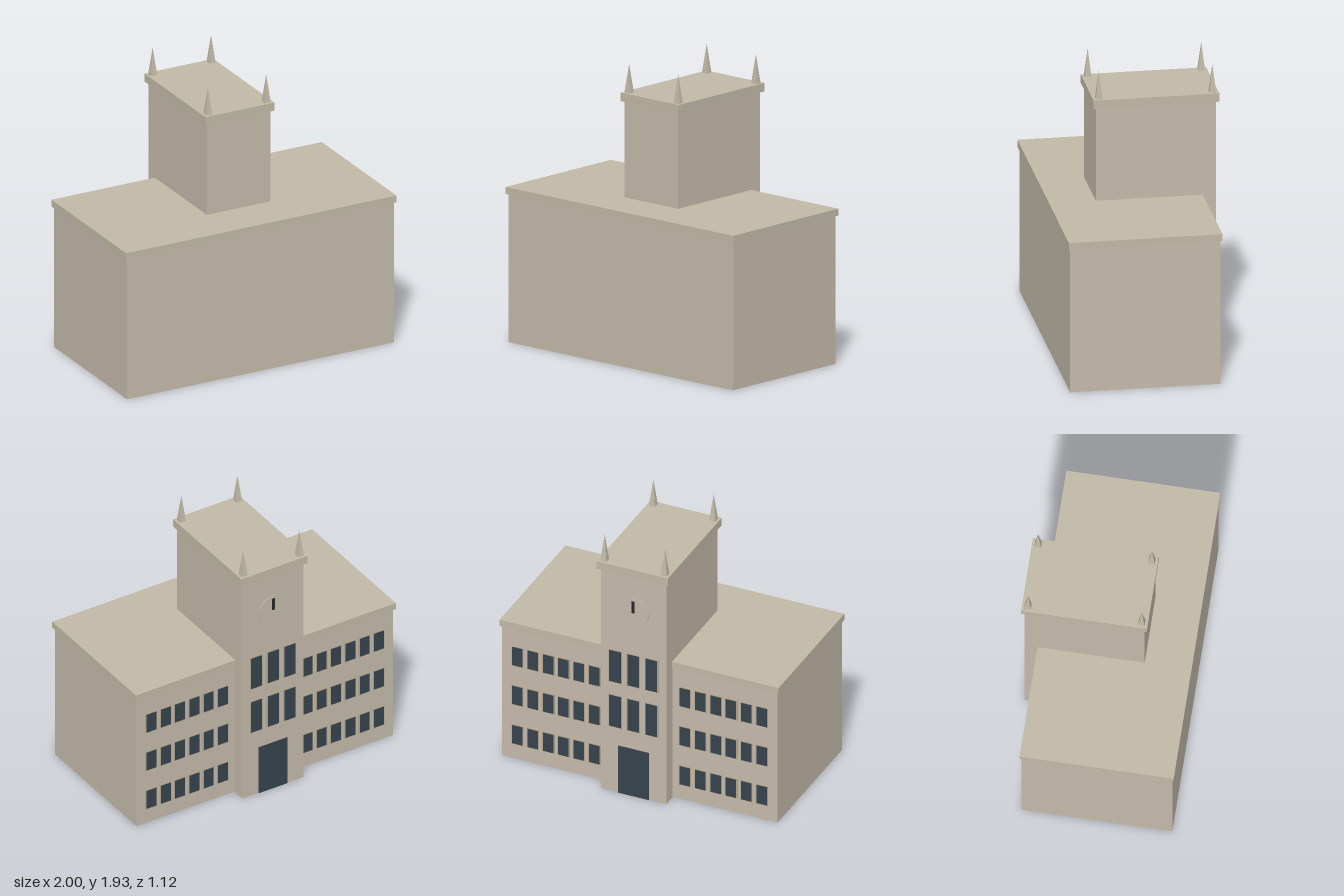
import * as THREE from 'three';

const mat = (name, color) => {
  const m = new THREE.MeshStandardMaterial({ color });
  m.name = name;
  return m;
};

export function createModel() {
  const stone = mat('wall stone', 0xc4b9aa);
  const trim = mat('trim stone', 0xc1b9a6);
  const frame = mat('window frame', 0xb3a58c);
  const glass = mat('dark glass', 0x36424c);
  const iron = mat('clock hand', 0x25282b);
  const model = new THREE.Group();
  model.name = 'clockTowerHall';

  // Box given by its limits along each axis
  const block = (name, material, [x0, x1], [y0, y1], [z0, z1], parent = model) => {
    const mesh = new THREE.Mesh(new THREE.BoxGeometry(x1 - x0, y1 - y0, z1 - z0), material);
    mesh.position.set((x0 + x1) / 2, (y0 + y1) / 2, (z0 + z1) / 2);
    mesh.name = name;
    parent.add(mesh);
    return mesh;
  };

  const wallZ = -0.443, towerZ = -0.54;

  // Main hall with its roof slab, and the tower with its cap
  block('hall', stone, [-0.987, 0.987], [0, 0.99], [wallZ, 0.547]);
  block('hallRoof', trim, [-1, 1], [0.99, 1.037], [-0.455, 0.558]);
  block('tower', stone, [-0.235, 0.235], [0, 1.68], [towerZ, 0.25]);
  block('towerCap', trim, [-0.255, 0.255], [1.68, 1.737], [-0.56, 0.268]);

  // Four-sided pinnacles on the cap corners
  const spire = new THREE.ConeGeometry(0.022 * Math.SQRT2, 0.193, 4).toNonIndexed();
  spire.rotateY(Math.PI / 4);
  spire.computeVertexNormals();
  for (const x of [-0.216, 0.216]) for (const z of [-0.52, 0.228]) {
    const pinnacle = new THREE.Mesh(spire, trim);
    pinnacle.position.set(x, 1.833, z);
    pinnacle.name = 'pinnacle';
    model.add(pinnacle);
  }

  // Window: a thin surround with a glass plate on its outer face
  const addWindow = (x, y, w, h, z) => {
    const group = new THREE.Group();
    group.name = 'window';
    const plate = (name, m, hw, hh, z0, z1) =>
      block(name, m, [x - hw, x + hw], [y - hh, y + hh], [z0, z1], group);
    plate('windowFrame', frame, w / 2 + 0.006, h / 2 + 0.006, z - 0.004, z);
    plate('windowGlass', glass, w / 2, h / 2, z - 0.007, z - 0.004);
    model.add(group);
  };

  // Three rows of six windows on each wing
  for (const side of [-1, 1])
    for (const y of [0.183, 0.483, 0.78])
      for (let i = 0; i < 6; i++) addWindow(side * (0.325 + 0.11 * i), y, 0.074, 0.138, wallZ);

  // Two rows of tall windows on the tower
  for (const y of [0.614, 0.956])
    for (const x of [-0.13, 0, 0.13]) addWindow(x, y, 0.082, 0.236, towerZ);

  // Entrance door
  block('door', glass, [-0.11, 0.11], [0, 0.357], [towerZ - 0.006, towerZ]);

  // Clock dial and hand
  const dial = new THREE.Mesh(new THREE.CylinderGeometry(0.108, 0.108, 0.006, 32), stone);
  dial.rotation.x = Math.PI / 2;
  dial.position.set(0, 1.402, towerZ - 0.003);
  dial.name = 'clockDial';
  model.add(dial);
  block('clockHand', iron, [-0.01, 0.01], [1.4, 1.488], [towerZ - 0.01, towerZ - 0.006]);

  return model;
}
